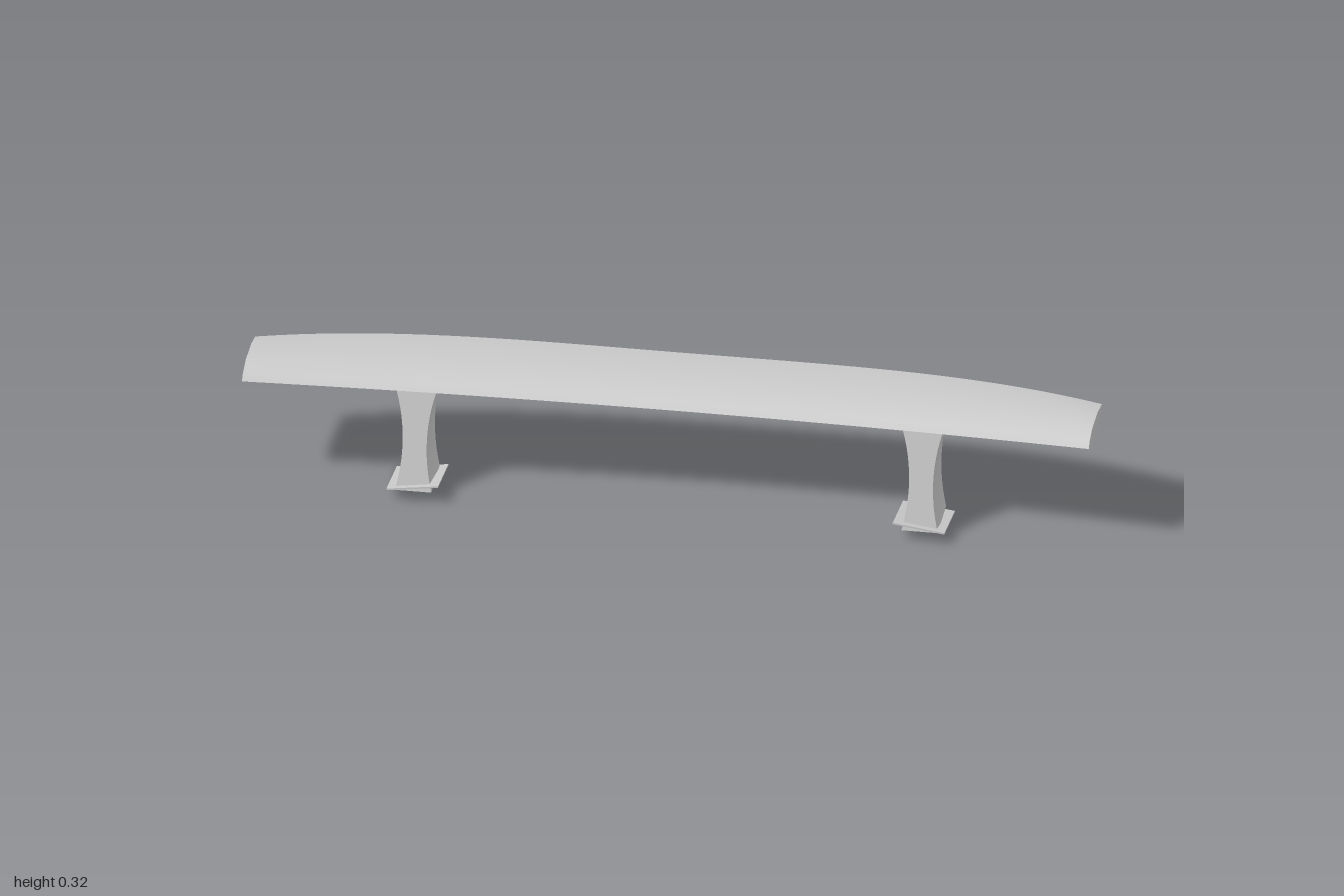
import * as THREE from 'three';
import { toCreasedNormals } from 'three/addons/utils/BufferGeometryUtils.js';

const material = new THREE.MeshStandardMaterial({ color: 0xcccccc });

// Blade cross-section: [fraction of chord from nose to tail, height at mid span]
const PROFILE = [
  [0, 0.275], [0.07, 0.289], [0.28, 0.3], [0.68, 0.296],
  [1, 0.279], [0.98, 0.271], [0.53, 0.258], [0.13, 0.259],
];

function part(name, geometry) {
  const mesh = new THREE.Mesh(geometry, material);
  mesh.name = name;
  return mesh;
}

// Swept blade: chord narrows and the tips rise towards the ends
function bladeGeometry() {
  const steps = 40, n = PROFILE.length;
  const positions = [], index = [];
  for (let s = 0; s <= steps; s++) {
    const x = -1 + (2 * s) / steps;
    const nose = 0.1 + 0.057 * x * x;
    const tail = -0.158 + 0.114 * Math.abs(x) ** 3.2;
    for (const [t, y] of PROFILE) {
      positions.push(x, y + 0.02 * x * x, nose + (tail - nose) * t);
    }
  }
  for (let s = 0; s < steps; s++) {
    for (let i = 0; i < n; i++) {
      const j = (i + 1) % n;
      const a = s * n + i, c = s * n + j;
      index.push(a, a + n, c, a + n, c + n, c);
    }
  }
  // Flat end caps
  const last = steps * n;
  for (let i = 1; i < n - 1; i++) {
    index.push(0, i, i + 1, last, last + i + 1, last + i);
  }
  const geometry = new THREE.BufferGeometry();
  geometry.setAttribute('position', new THREE.Float32BufferAttribute(positions, 3));
  geometry.setIndex(index);
  return toCreasedNormals(geometry, 0.7);
}

// Moves each vertex by a rule
function deform(geometry, rule) {
  const p = geometry.attributes.position;
  const v = new THREE.Vector3();
  for (let i = 0; i < p.count; i++) {
    rule(v.fromBufferAttribute(p, i));
    p.setXYZ(i, v.x, v.y, v.z);
  }
  return geometry;
}

// Waisted post, leaning back as it rises
function postGeometry() {
  const bottom = 0.025, top = 0.268;
  const shape = new THREE.Shape();
  shape.moveTo(-0.043, bottom);
  shape.lineTo(0.043, bottom);
  shape.quadraticCurveTo(0.012, 0.15, 0.047, top);
  shape.lineTo(-0.047, top);
  shape.quadraticCurveTo(-0.012, 0.15, -0.043, bottom);
  const geometry = new THREE.ExtrudeGeometry(shape, {
    depth: 0.126, bevelEnabled: false, curveSegments: 12,
  });
  deform(geometry, (v) => { v.z += 0.016 - (0.048 * (v.y - bottom)) / (top - bottom); });
  return toCreasedNormals(geometry, 0.5);
}

// Thin foot plate, sloping down to the back and to the outside
function footGeometry(side) {
  const geometry = new THREE.BoxGeometry(0.122, 0.004, 0.157);
  deform(geometry, (v) => { v.y += 0.2 * v.z - 0.14 * side * v.x; });
  geometry.computeVertexNormals();
  return geometry;
}

export function createModel() {
  const model = new THREE.Group();
  model.name = 'spoiler';
  model.add(part('blade', bladeGeometry()));

  for (const side of [1, -1]) {
    const support = new THREE.Group();
    support.name = side > 0 ? 'leftSupport' : 'rightSupport';
    support.position.x = 0.598 * side;
    const foot = part('footPlate', footGeometry(side));
    foot.position.set(0, 0.0262, 0.0785);
    support.add(part('post', postGeometry()), foot);
    model.add(support);
  }
  return model;
}
